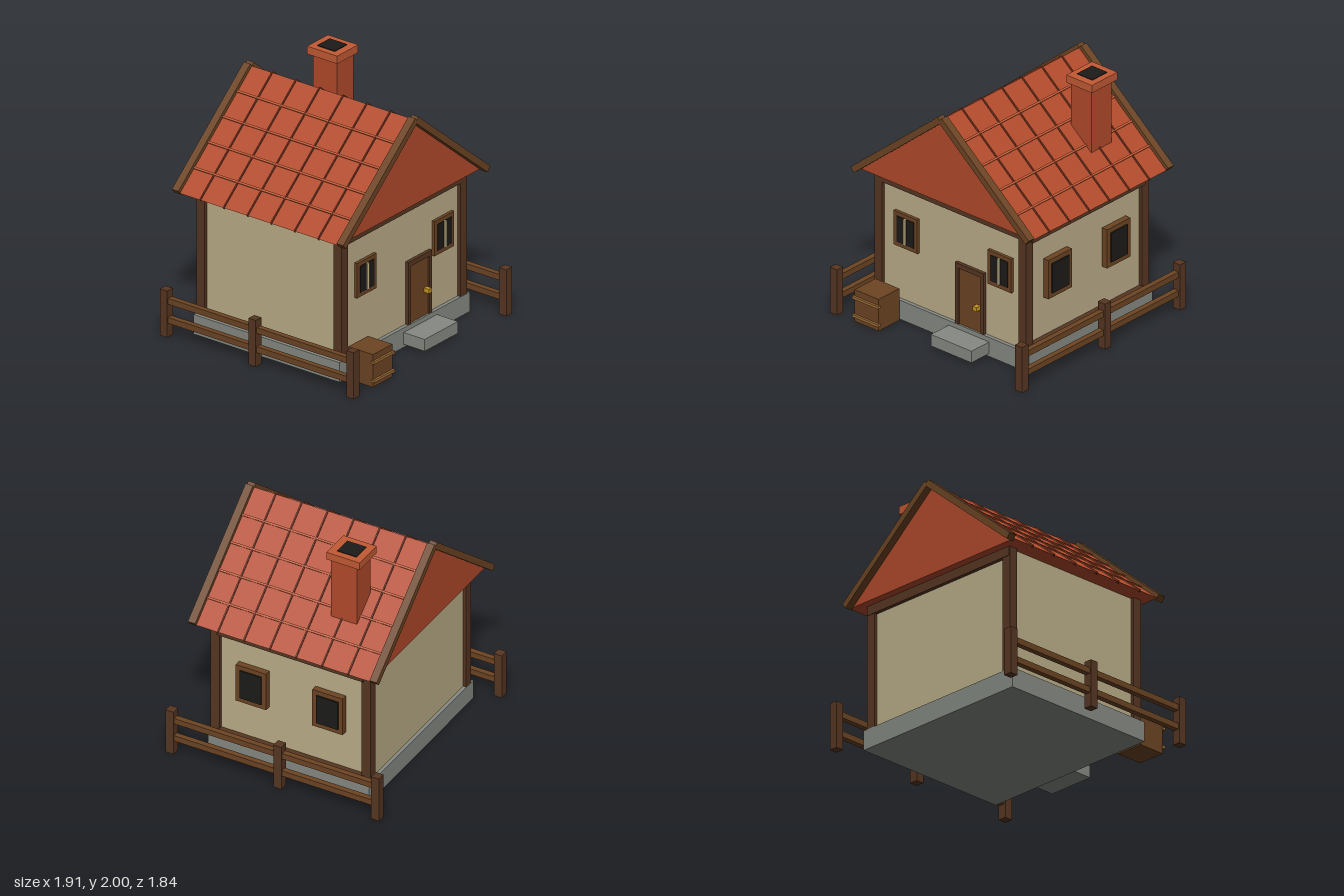
import * as THREE from 'three';

const mat = (color, side = THREE.FrontSide) =>
  new THREE.MeshStandardMaterial({ color, flatShading: true, side });

const M = {
  stone: mat(0x868a83), wall: mat(0xbbad88), dark: mat(0x573622), wood: mat(0x6c4423),
  roof: mat(0xb24a2b), rib: mat(0x8a3a20), brick: mat(0xb24a2b), cap: mat(0xc25a34),
  black: mat(0x1c1b19), cream: mat(0xd0c090), gold: mat(0xc8951e), band: mat(0x9a6a35),
};

// Box given by its min and max on each axis
function box(parent, name, material, [x0, x1], [y0, y1], [z0, z1]) {
  const mesh = new THREE.Mesh(new THREE.BoxGeometry(x1 - x0, y1 - y0, z1 - z0), material);
  mesh.position.set((x0 + x1) / 2, (y0 + y1) / 2, (z0 + z1) / 2);
  mesh.name = name;
  parent.add(mesh);
  return mesh;
}

function group(parent, name) {
  const g = new THREE.Group();
  g.name = name;
  parent.add(g);
  return g;
}

// Frame of four bars facing +z, open in the middle, centred on its own origin
function windowFrame(parent, name, w, h, bar, depth) {
  const g = group(parent, name);
  const W = w / 2, H = h / 2, z = [-0.03, depth];
  for (const s of [-1, 1]) {
    const mid = s * (W - bar / 2), top = s * (H - bar / 2);
    box(g, 'windowJamb', M.wood, [mid - bar / 2, mid + bar / 2], [-H, H], z);
    box(g, 'windowRail', M.wood, [bar - W, W - bar], [top - bar / 2, top + bar / 2], z);
  }
  return g;
}

function buildWalls(root) {
  const house = group(root, 'house');
  box(house, 'foundation', M.stone, [-0.787, 0.787], [0, 0.16], [-0.735, 0.64]);
  box(house, 'walls', M.wall, [-0.725, 0.725], [0.16, 1.165], [-0.705, 0.61]);
  for (const x of [-0.717, 0.717])
    for (const z of [-0.693, 0.598])
      box(house, 'cornerPost', M.dark, [x - 0.038, x + 0.038], [0.16, 1.165], [z - 0.038, z + 0.038]);
  for (const z of [-0.698, 0.603])
    box(house, 'gableBeam', M.dark, [-0.75, 0.75], [1.09, 1.164], [z - 0.037, z + 0.037]);
  // Beams on the left wall
  box(house, 'sideTopBeam', M.dark, [0.69, 0.772], [1.06, 1.137], [-0.675, 0.578]);
  box(house, 'sideSillBeam', M.dark, [0.69, 0.772], [0.16, 0.207], [-0.675, 0.578]);

  // Front windows with a centre mullion
  for (const x of [-0.448, 0.487]) {
    const w = windowFrame(house, 'frontWindow', 0.235, 0.285, 0.033, 0.025);
    w.position.set(x, 0.747, 0.61);
    box(w, 'windowPane', M.black, [-0.086, 0.086], [-0.108, 0.108], [-0.02, 0.03]);
    box(w, 'mullion', M.cream, [-0.011, 0.011], [-0.108, 0.108], [0, 0.04]);
  }
  // Side windows
  for (const z of [0.28, -0.375]) {
    const w = windowFrame(house, 'sideWindow', 0.26, 0.325, 0.038, 0.05);
    w.position.set(0.725, 0.688, z);
    w.rotation.y = Math.PI / 2;
    box(w, 'windowPane', M.black, [-0.093, 0.093], [-0.123, 0.123], [-0.02, 0.06]);
  }

  // Door, its frame and knob
  const door = group(house, 'door');
  box(door, 'doorJamb', M.dark, [0.047, 0.08], [0.16, 0.672], [0.58, 0.638]);
  box(door, 'doorJamb', M.dark, [0.3, 0.334], [0.16, 0.672], [0.58, 0.638]);
  box(door, 'doorLintel', M.dark, [0.08, 0.3], [0.632, 0.672], [0.58, 0.638]);
  box(door, 'doorPanel', M.wood, [0.08, 0.3], [0.16, 0.632], [0.58, 0.625]);
  box(door, 'doorHandle', M.gold, [0.253, 0.29], [0.35, 0.386], [0.625, 0.67]);
  box(house, 'doorStep', M.stone, [-0.012, 0.39], [0.025, 0.122], [0.6, 0.838]);
}

function buildRoof(root) {
  const roof = group(root, 'roof');
  const halfW = 0.87, eave = 1.165, ridge = 1.89, zBack = -0.8, zFront = 0.695;
  const pitch = Math.atan2(ridge - eave, halfW);
  const slope = Math.hypot(ridge - eave, halfW);

  // Solid gabled prism
  const tri = new THREE.Shape([[-halfW, eave], [halfW, eave], [0, ridge]].map(p => new THREE.Vector2(...p)));
  const prism = new THREE.Mesh(
    new THREE.ExtrudeGeometry(tri, { depth: zFront - zBack, bevelEnabled: false }), M.roof);
  prism.position.z = zBack;
  prism.name = 'roofBody';
  roof.add(prism);

  for (const s of [-1, 1]) {
    // Local x runs down the slope from the ridge, local y is the outward normal
    const side = group(roof, s > 0 ? 'leftSlope' : 'rightSlope');
    side.position.y = ridge;
    side.rotation.order = 'YXZ';
    side.rotation.set(0, s > 0 ? 0 : Math.PI, -pitch);
    const zr = (a, b) => (s > 0 ? [a, b] : [-b, -a]);
    // Tile courses
    for (let i = 1; i <= 4; i++) {
      const d = slope * i / 5;
      box(side, 'tileCourse', M.cap, [d - 0.008, d + 0.008], [-0.01, 0.01], zr(zBack, zFront));
    }
    // Ribs down the slope
    for (let i = 0; i < 6; i++) {
      const z = 0.507 - i * 0.2225;
      box(side, 'tileRib', M.rib, [0, slope + 0.004], [-0.01, 0.011], zr(z - 0.005, z + 0.005));
    }
    // Verge boards at both gables
    for (const [a, b] of [[-0.86, -0.798], [0.692, 0.755]])
      box(side, 'vergeBoard', M.wood, [0, 1.131], [-0.022, 0.03], zr(a, b));
  }

  // Chimney with a hollow-looking cap
  const chimney = group(root, 'chimney');
  box(chimney, 'chimneyShaft', M.brick, [0.376, 0.576], [1.4, 1.93], [-0.515, -0.29]);
  box(chimney, 'chimneyCap', M.cap, [0.348, 0.602], [1.93, 1.994], [-0.552, -0.267]);
  box(chimney, 'chimneyFlue', M.black, [0.4, 0.55], [1.95, 2], [-0.495, -0.33]);
}

function buildYard(root) {
  // Fences along both sides
  for (const s of [-1, 1]) {
    const fence = group(root, s > 0 ? 'leftFence' : 'rightFence');
    const x = s * 0.922;
    for (const z of [-0.885, -0.05, 0.872])
      box(fence, 'fencePost', M.dark, [x - 0.035, x + 0.035], [0, 0.38], [z - 0.034, z + 0.034]);
    for (const y of [0.137, 0.293])
      box(fence, 'fenceRail', M.wood, [x - 0.023, x + 0.023], [y - 0.024, y + 0.024], [-0.87, 0.86]);
  }
  // Crate with two front bands
  const crate = group(root, 'crate');
  box(crate, 'crateBody', M.wood, [-0.717, -0.48], [0.008, 0.275], [0.668, 0.9]);
  for (const y of [0.06, 0.212])
    box(crate, 'crateBand', M.band, [-0.727, -0.47], [y - 0.011, y + 0.011], [0.89, 0.918]);
}

export function createModel() {
  const root = new THREE.Group();
  root.name = 'cottage';
  buildWalls(root);
  buildRoof(root);
  buildYard(root);
  return root;
}
